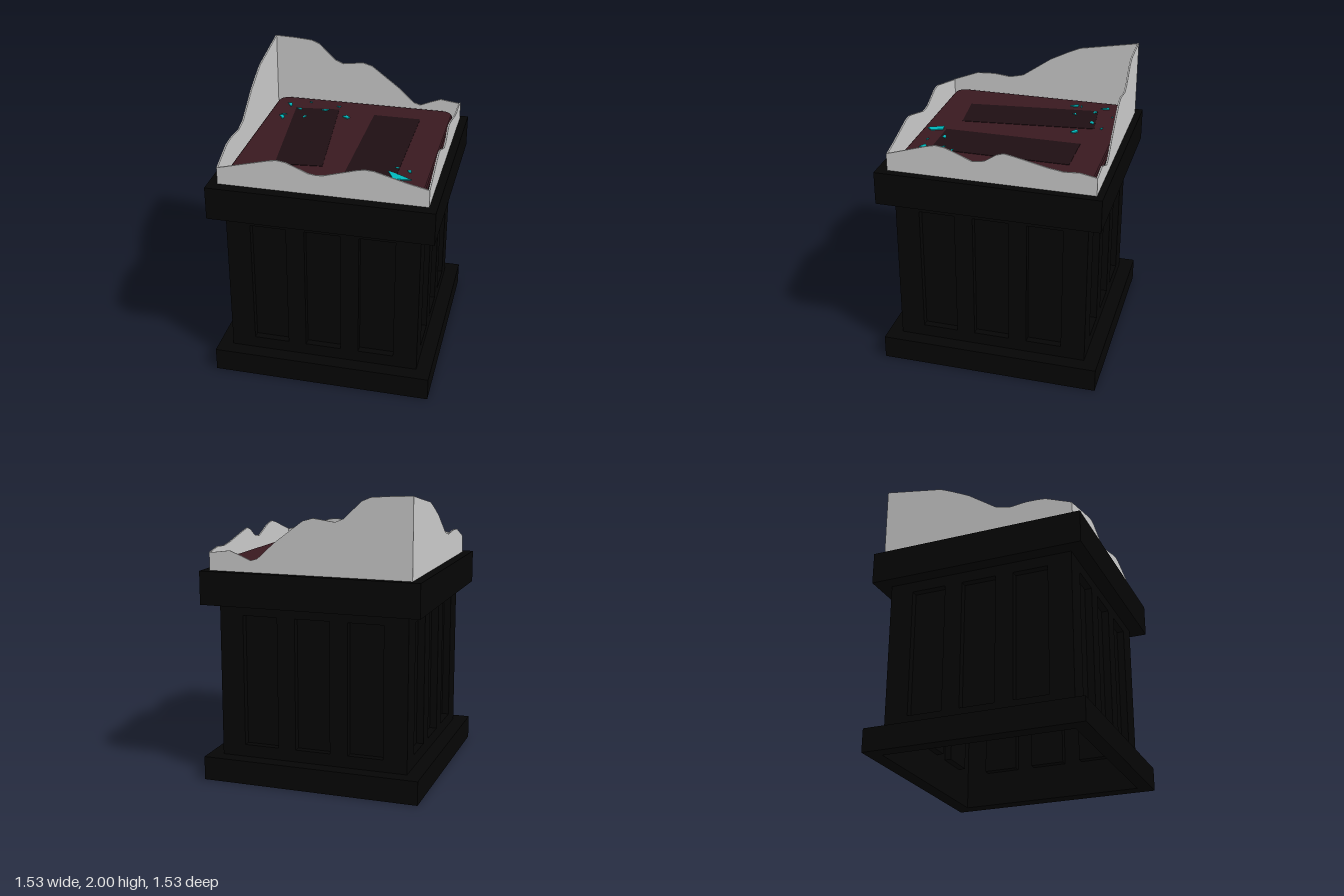
import * as THREE from 'three';

const mat = (color) => new THREE.MeshStandardMaterial({ color });
const black = mat(0x050505), maroon = mat(0x391920), dark = mat(0x1f0f13);
const teal = mat(0x00b8bc), glass = mat(0xcccccc);
black.side = THREE.DoubleSide;
glass.side = THREE.DoubleSide;

function add(parent, name, geometry, material, x = 0, y = 0, z = 0) {
  const mesh = new THREE.Mesh(geometry, material);
  mesh.name = name;
  mesh.position.set(x, y, z);
  parent.add(mesh);
  return mesh;
}

const extrude = (shape, depth) =>
  new THREE.ExtrudeGeometry(shape, { depth, bevelEnabled: false, curveSegments: 6 });

const polygon = (points) => new THREE.Shape(points.map(([x, y]) => new THREE.Vector2(x, y)));

// Rectangle path, used for outlines and holes
const rect = (x0, y0, x1, y1) => [[x0, y0], [x1, y0], [x1, y1], [x0, y1]];

// Recess behind a panel opening: a box without its front face
function pocketGeometry(width, height, depth) {
  const box = new THREE.BoxGeometry(width, height, depth);
  const index = Array.from(box.index.array);
  index.splice(24, 6);
  box.setIndex(index);
  box.clearGroups();
  return box;
}

// Hollow pedestal, open underneath
function pedestal() {
  const group = new THREE.Group();
  group.name = 'pedestal';
  const depth = 0.05, half = 0.663, outer = 0.763;
  const ring = polygon(rect(-outer, -outer, outer, outer));
  ring.holes.push(polygon(rect(-half, -half, half, half)));
  add(group, 'plinth', extrude(ring, 0.165).rotateX(-Math.PI / 2), black);
  add(group, 'topSlab', new THREE.BoxGeometry(2 * outer, 0.23, 2 * outer), black, 0, 1.35, 0);

  // Each side is a thin plate with three recessed panels
  const shape = polygon(rect(-half, 0.165, half, 1.235));
  const columns = [-0.373, 0, 0.373];
  for (const x of columns) {
    shape.holes.push(polygon(rect(x - 0.123, 0.25, x + 0.123, 1.16)));
  }
  const plate = new THREE.ShapeGeometry(shape);
  const pocket = pocketGeometry(0.246, 0.91, depth);
  for (let i = 0; i < 4; i++) {
    const side = new THREE.Group();
    side.name = 'panelledSide';
    side.rotation.y = i * Math.PI / 2;
    add(side, 'sidePlate', plate, black, 0, 0, half);
    for (const x of columns) add(side, 'recessedPanel', pocket, black, x, 0.705, half - depth / 2);
    group.add(side);
  }
  return group;
}

// Broken panes: a straight foot and a jagged upper edge
function brokenCase() {
  const group = new THREE.Group();
  group.name = 'brokenGlassCase';
  const foot = 1.465, t = 0.01;
  const pane = (edge) => {
    const first = edge[0][0], last = edge[edge.length - 1][0];
    return extrude(polygon([[first, foot], [last, foot], ...[...edge].reverse()]), t);
  };
  const back = [[-0.698, 2], [-0.55, 1.995], [-0.42, 1.985], [-0.36, 1.96], [-0.24, 1.845],
    [-0.18, 1.82], [-0.03, 1.84], [0.04, 1.82], [0.24, 1.67], [0.36, 1.56], [0.41, 1.545],
    [0.48, 1.575], [0.56, 1.605], [0.708, 1.585]];
  const front = [[-0.698, 1.582], [-0.34, 1.673], [-0.29, 1.681], [-0.23, 1.673], [-0.08, 1.611],
    [-0.03, 1.604], [0.02, 1.608], [0.24, 1.671], [0.29, 1.68], [0.35, 1.676], [0.58, 1.613],
    [0.708, 1.585]];
  // Side panes are listed along z
  const right = [[-0.717, 1.59], [-0.6, 1.612], [-0.5, 1.605], [-0.4, 1.62], [-0.17, 1.672],
    [-0.11, 1.683], [-0.06, 1.668], [0.02, 1.615], [0.1, 1.602], [0.24, 1.66], [0.29, 1.677],
    [0.35, 1.685], [0.42, 1.668], [0.689, 1.585]];
  const left = [[-0.717, 2], [-0.29, 1.925], [-0.2, 1.885], [-0.07, 1.82], [0.14, 1.675],
    [0.24, 1.652], [0.36, 1.665], [0.43, 1.664], [0.5, 1.658], [0.689, 1.585]];
  add(group, 'backPane', pane(back), glass, 0, 0, -0.717);
  add(group, 'frontPane', pane(front), glass, 0, 0, 0.679);
  const flip = (edge) => edge.map(([z, y]) => [-z, y]).reverse();
  add(group, 'leftPane', pane(flip(right)), glass, 0.698, 0, 0).rotation.y = Math.PI / 2;
  add(group, 'rightPane', pane(flip(left)), glass, -0.698, 0, 0).rotation.y = Math.PI / 2;
  return group;
}

// Cushion with rounded corners and a small bevel on its upper rim
function cushion() {
  const a = 0.65, r = 0.07, s = new THREE.Shape();
  s.moveTo(-a + r, -a);
  s.lineTo(a - r, -a).absarc(a - r, -a + r, r, -Math.PI / 2, 0, false);
  s.lineTo(a, a - r).absarc(a - r, a - r, r, 0, Math.PI / 2, false);
  s.lineTo(-a + r, a).absarc(-a + r, a - r, r, Math.PI / 2, Math.PI, false);
  s.lineTo(-a, -a + r).absarc(-a + r, -a + r, r, Math.PI, Math.PI * 1.5, false);
  return new THREE.ExtrudeGeometry(s, {
    depth: 0.05, bevelSize: 0.008, bevelThickness: 0.008, bevelSegments: 1, curveSegments: 6,
  }).rotateX(-Math.PI / 2);
}

export function createModel() {
  const model = new THREE.Group();
  model.name = 'brokenDisplayPedestal';
  model.add(pedestal(), brokenCase());
  add(model, 'cushion', cushion(), maroon, 0.004, 1.473, -0.017);

  // Dark marks left on the cushion
  const mark = (w, d, x, z, turn) => {
    add(model, 'imprint', new THREE.BoxGeometry(w, 0.02, d), dark, x, 1.524, z).rotation.y = turn;
  };
  mark(0.322, 0.935, -0.27, -0.033, 0.115);
  mark(0.34, 0.955, 0.278, 0, 0);

  // Glass splinters, outlined in x and z
  const shards = [
    [[0.385, 0.39], [0.475, 0.43], [0.555, 0.478], [0.438, 0.495]],
    [[0.07, 0.505], [0.13, 0.498], [0.157, 0.575], [0.122, 0.612]],
    [[0.215, 0.452], [0.24, 0.436], [0.268, 0.433], [0.248, 0.46]],
    [[0.392, 0.533], [0.42, 0.512], [0.447, 0.535], [0.442, 0.56]],
    [[0.507, 0.352], [0.528, 0.34], [0.535, 0.372], [0.523, 0.378]],
    [[0.42, 0.324], [0.447, 0.322], [0.45, 0.334], [0.432, 0.338]],
    [[0.294, 0.54], [0.318, 0.55], [0.304, 0.557]],
    [[-0.565, -0.545], [-0.535, -0.552], [-0.523, -0.52], [-0.53, -0.493]],
    [[-0.474, -0.468], [-0.452, -0.478], [-0.433, -0.457], [-0.45, -0.451]],
    [[-0.288, -0.473], [-0.262, -0.494], [-0.234, -0.497], [-0.255, -0.465]],
    [[-0.114, -0.4], [-0.085, -0.42], [-0.054, -0.392], [-0.068, -0.368]],
    [[-0.196, -0.572], [-0.166, -0.57], [-0.176, -0.555]],
    [[-0.409, -0.6], [-0.393, -0.605], [-0.39, -0.595]],
    [[-0.567, -0.32], [-0.532, -0.32], [-0.521, -0.292], [-0.53, -0.263]],
    [[-0.558, -0.335], [-0.54, -0.352], [-0.517, -0.346]],
    [[-0.395, -0.335], [-0.366, -0.344], [-0.385, -0.312]],
  ];
  for (const shard of shards) {
    const outline = polygon(shard.map(([x, z]) => [x, -z]));
    add(model, 'glassShard', extrude(outline, 0.008).rotateX(-Math.PI / 2), teal, 0, 1.53, 0);
  }
  return model;
}
